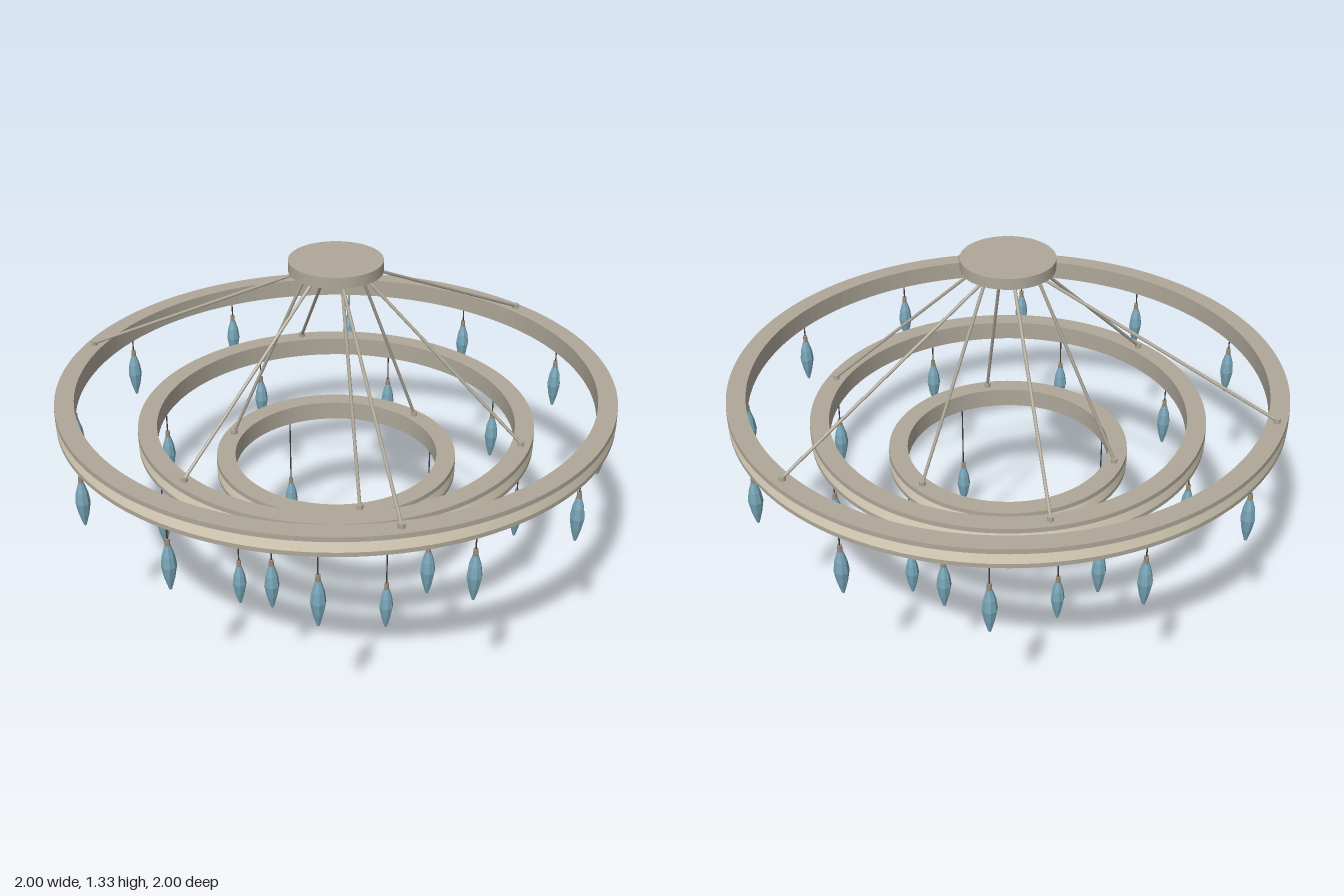
import * as THREE from 'three';

const mat = (name, color, flat = false) => {
  const m = new THREE.MeshStandardMaterial({ color });
  m.name = name;
  m.flatShading = flat;
  return m;
};

export function createModel() {
  const root = new THREE.Group();
  root.name = 'chandelier';
  const metal = mat('brushed metal', 0xaea799);
  const glow = mat('light strip', 0xe8dec6);
  glow.side = THREE.DoubleSide;
  const glass = mat('blue glass', 0x78a5b7, true);
  const wire = mat('dark wire', 0x3f3e3b);
  const brass = mat('cap metal', 0x9a8c7c);

  const add = (parent, name, geo, material, x = 0, y = 0, z = 0) => {
    const m = new THREE.Mesh(geo, material);
    m.name = name;
    m.position.set(x, y, z);
    parent.add(m);
    return m;
  };

  // Rod between two points
  const rod = (parent, name, a, b, r, material) => {
    const d = b.clone().sub(a);
    const m = add(parent, name, new THREE.CylinderGeometry(r, r, d.length(), 8), material);
    m.position.copy(a).add(b).multiplyScalar(0.5);
    m.quaternion.setFromUnitVectors(new THREE.Vector3(0, 1, 0), d.normalize());
  };

  // Point on a circle, angle in degrees from +x towards the back
  const polar = (r, deg, y) => {
    const a = THREE.MathUtils.degToRad(deg);
    return new THREE.Vector3(r * Math.cos(a), y, -r * Math.sin(a));
  };

  // Square-section hoop with smooth walls, turned as a closed profile
  const hoopGeometry = (inner, outer, h) => {
    const corners = [[inner, 0], [outer, 0], [outer, h], [inner, h], [inner, 0]];
    return new THREE.LatheGeometry(corners.map(([r, y]) => new THREE.Vector2(r, y)), 128)
      .toNonIndexed();
  };

  // Flat-sided walls need their own normals, so recompute them per face
  const crisp = (g) => {
    g.computeVertexNormals();
    return g;
  };

  // Ceiling canopy
  const canopy = new THREE.Group();
  canopy.name = 'canopy';
  root.add(canopy);
  add(canopy, 'canopyPlate', new THREE.CylinderGeometry(0.165, 0.165, 0.04, 48), metal, 0, 1.315, 0);
  add(canopy, 'canopyStep', new THREE.CylinderGeometry(0.11, 0.11, 0.018, 48), metal, 0, 1.287, 0);
  add(canopy, 'canopyHub', new THREE.CylinderGeometry(0.04, 0.04, 0.012, 32), metal, 0, 1.273, 0);

  // Faceted drop, tip at y = 0
  const dropGeo = new THREE.LatheGeometry(
    [[0, 0], [0.005, 0.004], [0.018, 0.05], [0.026, 0.095], [0.021, 0.135], [0.01, 0.172], [0, 0.172]]
      .map(([r, y]) => new THREE.Vector2(r, y)), 8);
  const capGeo = new THREE.CylinderGeometry(0.008, 0.009, 0.03, 12);
  const footGeo = new THREE.CylinderGeometry(0.012, 0.012, 0.018, 12);

  // Hoops: outer radius, base height, cable angles, drop count and tip heights
  const tiers = [
    { name: 'outer', r: 1, y: 0.79, start: 30, count: 12, tips: [0.53, 0.53, 0.505] },
    { name: 'middle', r: 0.718, y: 0.65, start: 90, count: 8, tips: [0.37, 0.34] },
    { name: 'inner', r: 0.44, y: 0.504, start: 30, count: 4, tips: [0.01, 0.037] },
  ];
  const H = 0.071;
  for (const t of tiers) {
    const tier = new THREE.Group();
    tier.name = t.name + 'Tier';
    root.add(tier);
    const mid = t.r - 0.035;
    add(tier, t.name + 'Hoop', crisp(hoopGeometry(t.r - 0.069, t.r - 0.001, H)), metal, 0, t.y, 0);
    // Light strips round the outer wall and under the hoop
    add(tier, t.name + 'LightStrip',
      new THREE.CylinderGeometry(t.r, t.r, 0.038, 128, 1, true), glow, 0, t.y + H / 2, 0);
    add(tier, t.name + 'UnderLight',
      new THREE.RingGeometry(t.r - 0.058, t.r - 0.012, 128).rotateX(Math.PI / 2), glow, 0, t.y - 0.002, 0);

    // Three suspension cables with feet
    for (let i = 0; i < 3; i++) {
      const deg = t.start + i * 120;
      const foot = polar(mid, deg, t.y + H + 0.008);
      add(tier, 'cableFoot', footGeo, metal, foot.x, foot.y, foot.z);
      rod(tier, 'suspensionCable', polar(0.1, deg, 1.285), foot, 0.006, metal);
    }

    // Hanging glass drops
    for (let i = 0; i < t.count; i++) {
      const tip = t.tips[i % t.tips.length];
      const drop = new THREE.Group();
      drop.name = 'pendant';
      drop.position.copy(polar(mid, 15 + (i * 360) / t.count, tip));
      tier.add(drop);
      add(drop, 'glassDrop', dropGeo, glass);
      add(drop, 'dropCap', capGeo, brass, 0, 0.182, 0);
      rod(drop, 'dropWire', new THREE.Vector3(0, 0.19, 0),
        new THREE.Vector3(0, t.y - tip + 0.005, 0), 0.0025, wire);
    }
  }
  return root;
}
